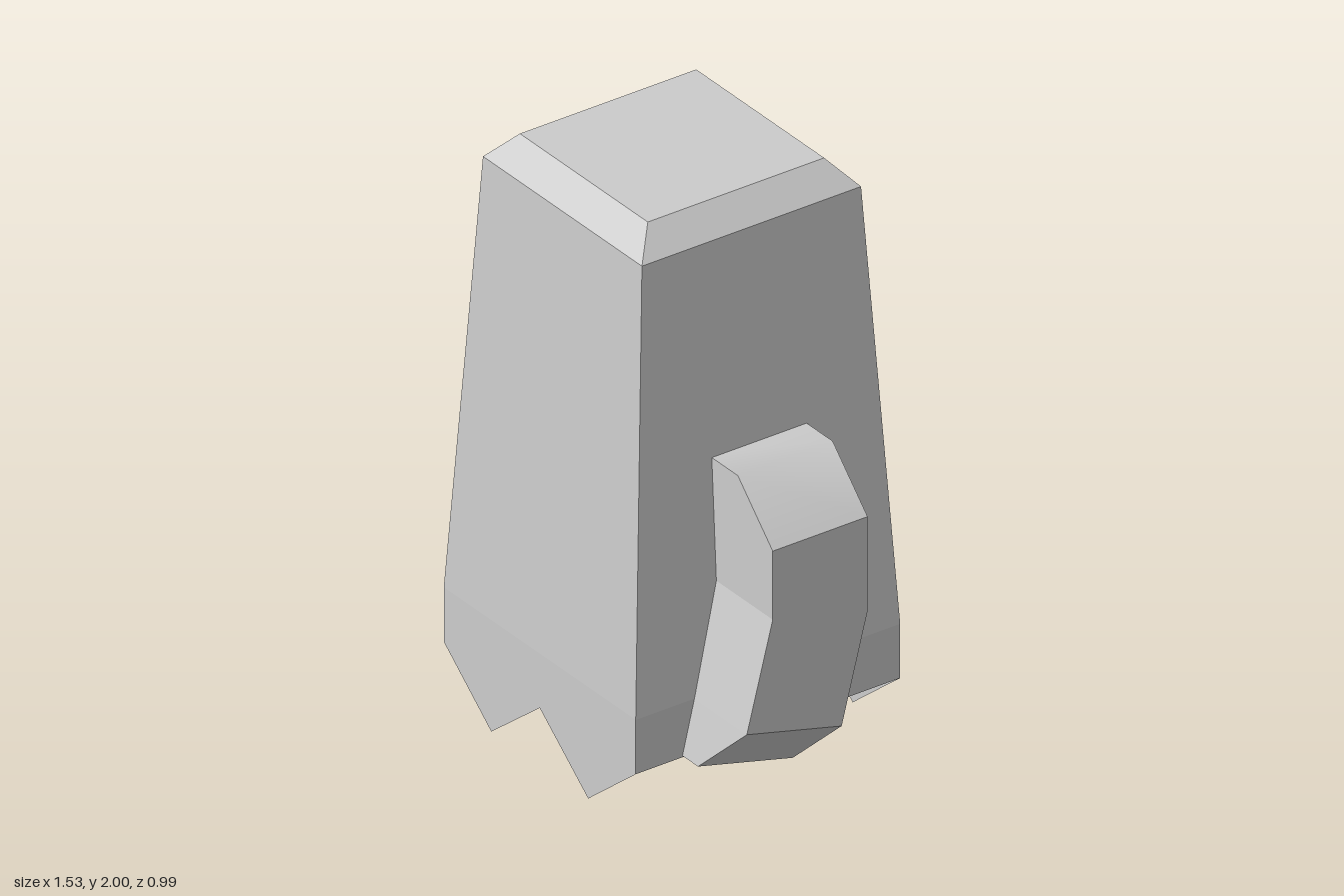
import * as THREE from 'three';
import { mergeGeometries } from 'three/addons/utils/BufferGeometryUtils.js';

const HALF = 0.495;   // half width of the body at its base
const WAIST = 0.39;   // height where the skirt begins
const HEM = 0.2;      // height of the skirt's straight hem

// Strip of quads between successive [left, right] point pairs; normals blend along the strip
function strip(rows, flip) {
  const index = [];
  for (let i = 0; i < rows.length - 1; i++) {
    const [a, d, b, c] = [2 * i, 2 * i + 1, 2 * i + 2, 2 * i + 3];
    index.push(...(flip ? [a, c, b, a, d, c] : [a, b, c, a, c, d]));
  }
  const geometry = new THREE.BufferGeometry();
  geometry.setAttribute('position', new THREE.Float32BufferAttribute(rows.flat(2), 3));
  geometry.setIndex(index);
  geometry.computeVertexNormals();
  return geometry;
}

// Bent, chamfered arm; side is +1 for left, -1 for right
function armGeometry(side) {
  const inner = 0.413;
  // Sections from top to bottom: outer x, front y and z, back y and z
  const sections = [
    [0.585, 1.18, 0.178, 1.18, -0.177],
    [0.765, 1.0, 0.178, 1.0, -0.177],
    [0.765, 0.76, 0.178, 0.67, -0.177],
    [0.765, 0.39, 0.275, 0.30, -0.08],
    [0.575, 0.205, 0.32, 0.115, -0.035],
  ].map(([x, fy, fz, by, bz]) => ({
    frontOut: [side * x, fy, fz], frontIn: [side * inner, fy, fz],
    backOut: [side * x, by, bz], backIn: [side * inner, by, bz],
  }));
  const flip = side < 0;
  const outer = sections.map(s => [s.frontOut, s.backOut]);
  const ends = [sections[0], sections[4]].map(s => [s.frontIn, s.backIn]);

  // Smooth shoulder, then the sharp outer faces and the end cap
  const parts = [strip([ends[0], outer[0], outer[1]], flip)];
  for (let i = 1; i < 4; i++) parts.push(strip([outer[i], outer[i + 1]], flip));
  parts.push(strip([outer[4], ends[1]], flip));

  // Front, back and inner faces
  for (let i = 0; i < 4; i++) {
    const pair = [sections[i], sections[i + 1]];
    parts.push(strip(pair.map(s => [s.frontIn, s.frontOut]), flip));
    parts.push(strip(pair.map(s => [s.backOut, s.backIn]), flip));
    parts.push(strip(pair.map(s => [s.backIn, s.frontIn]), flip));
  }
  return mergeGeometries(parts);
}

// Flat skirt panel whose lower edge follows the given points, left to right
function skirtPanel(edge) {
  const corners = [[HALF, WAIST], [-HALF, WAIST], ...edge];
  return new THREE.ShapeGeometry(new THREE.Shape(corners.map(p => new THREE.Vector2(...p))));
}

export function createModel() {
  const group = new THREE.Group();
  const flat = new THREE.MeshStandardMaterial({ color: 0xcccccc, flatShading: true });
  const smooth = new THREE.MeshStandardMaterial({ color: 0xcccccc });
  const thin = new THREE.MeshStandardMaterial({ color: 0xcccccc, side: THREE.DoubleSide });
  const add = (name, geometry, material) => {
    const mesh = new THREE.Mesh(geometry, material);
    mesh.name = name;
    group.add(mesh);
    return mesh;
  };

  // Tapered square body with a bevelled top
  const profile = [[0, WAIST], [HALF, WAIST], [0.41, 1.91], [0.33, 2], [0, 2]]
    .map(([r, y]) => new THREE.Vector2(r * Math.SQRT2, y));
  add('body', new THREE.LatheGeometry(profile, 4).rotateY(Math.PI / 4), flat);

  // Open skirt: zigzag at front and back, straight at the sides
  const zigzag = [[-HALF, HEM], [-0.25, 0], [0, HEM], [0.25, 0], [HALF, HEM]];
  const straight = [[-HALF, HEM], [HALF, HEM]];
  ['skirtFront', 'skirtLeft', 'skirtBack', 'skirtRight'].forEach((name, i) => {
    const panel = skirtPanel(i % 2 ? straight : zigzag).translate(0, 0, HALF);
    add(name, panel.rotateY(i * Math.PI / 2), thin);
  });

  // Arms
  add('leftArm', armGeometry(1), smooth);
  add('rightArm', armGeometry(-1), smooth);

  return group;
}
